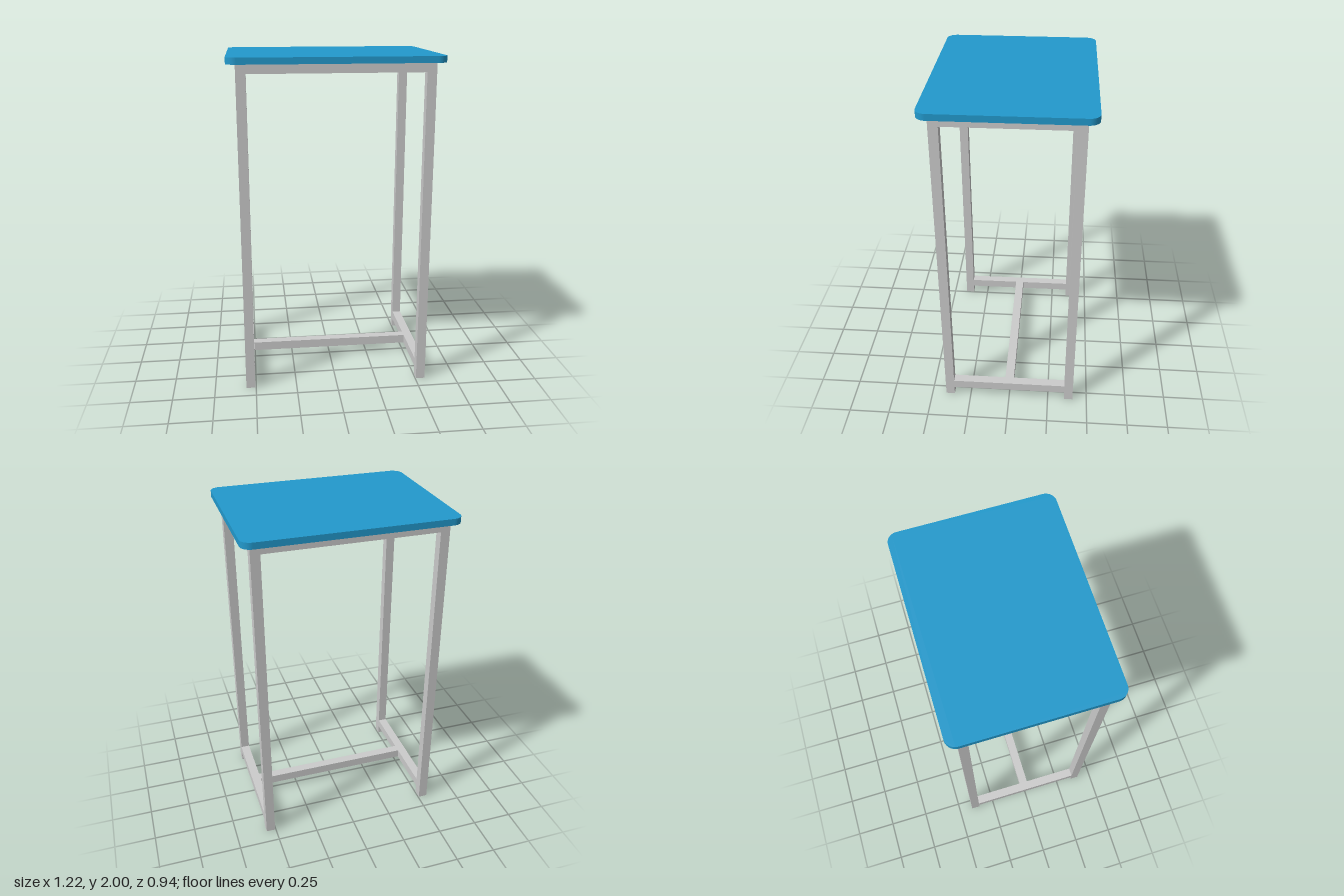
import * as THREE from 'three';

export function createModel() {
  const group = new THREE.Group();
  const grey = new THREE.MeshStandardMaterial({ color: 0xcccccc });
  const blue = new THREE.MeshStandardMaterial({ color: 0x2299cc });

  const T = 0.055;                 // square tube thickness
  const LX = 0.5325, LZ = 0.3825;  // leg centres
  const TOP_Y = 1.963;             // underside of the table top

  function bar(name, w, h, d, x, y, z) {
    const mesh = new THREE.Mesh(new THREE.BoxGeometry(w, h, d), grey);
    mesh.name = name;
    mesh.position.set(x, y, z);
    group.add(mesh);
  }

  // Table top: rounded rectangle slab
  const hx = 0.612, hz = 0.468, r = 0.06;
  const outline = new THREE.Shape();
  outline.absarc(hx - r, hz - r, r, 0, Math.PI / 2);
  outline.absarc(-hx + r, hz - r, r, Math.PI / 2, Math.PI);
  outline.absarc(-hx + r, -hz + r, r, Math.PI, Math.PI * 1.5);
  outline.absarc(hx - r, -hz + r, r, Math.PI * 1.5, Math.PI * 2);
  const slab = new THREE.ExtrudeGeometry(outline, {
    depth: 2 - TOP_Y, bevelEnabled: false, curveSegments: 10,
  });
  slab.rotateX(-Math.PI / 2);
  const top = new THREE.Mesh(slab, blue);
  top.name = 'tableTop';
  top.position.y = TOP_Y;
  group.add(top);

  // Legs, upper frame and lower side rails
  const railX = 2 * LX - T, railZ = 2 * LZ - T;
  const upperY = TOP_Y - T / 2, lowerY = 0.085;
  for (const s of [1, -1]) {
    const side = s > 0 ? 'left' : 'right';
    const end = s > 0 ? 'front' : 'back';
    bar(side + 'FrontLeg', T, TOP_Y, T, s * LX, TOP_Y / 2, LZ);
    bar(side + 'BackLeg', T, TOP_Y, T, s * LX, TOP_Y / 2, -LZ);
    bar(side + 'UpperRail', T, T, railZ, s * LX, upperY, 0);
    bar(side + 'LowerRail', T, T, railZ, s * LX, lowerY, 0);
    bar(end + 'UpperRail', railX, T, T, 0, upperY, s * LZ);
  }

  // Central stretcher joining the lower side rails
  bar('stretcher', railX, T, T, 0, lowerY, 0);

  return group;
}
